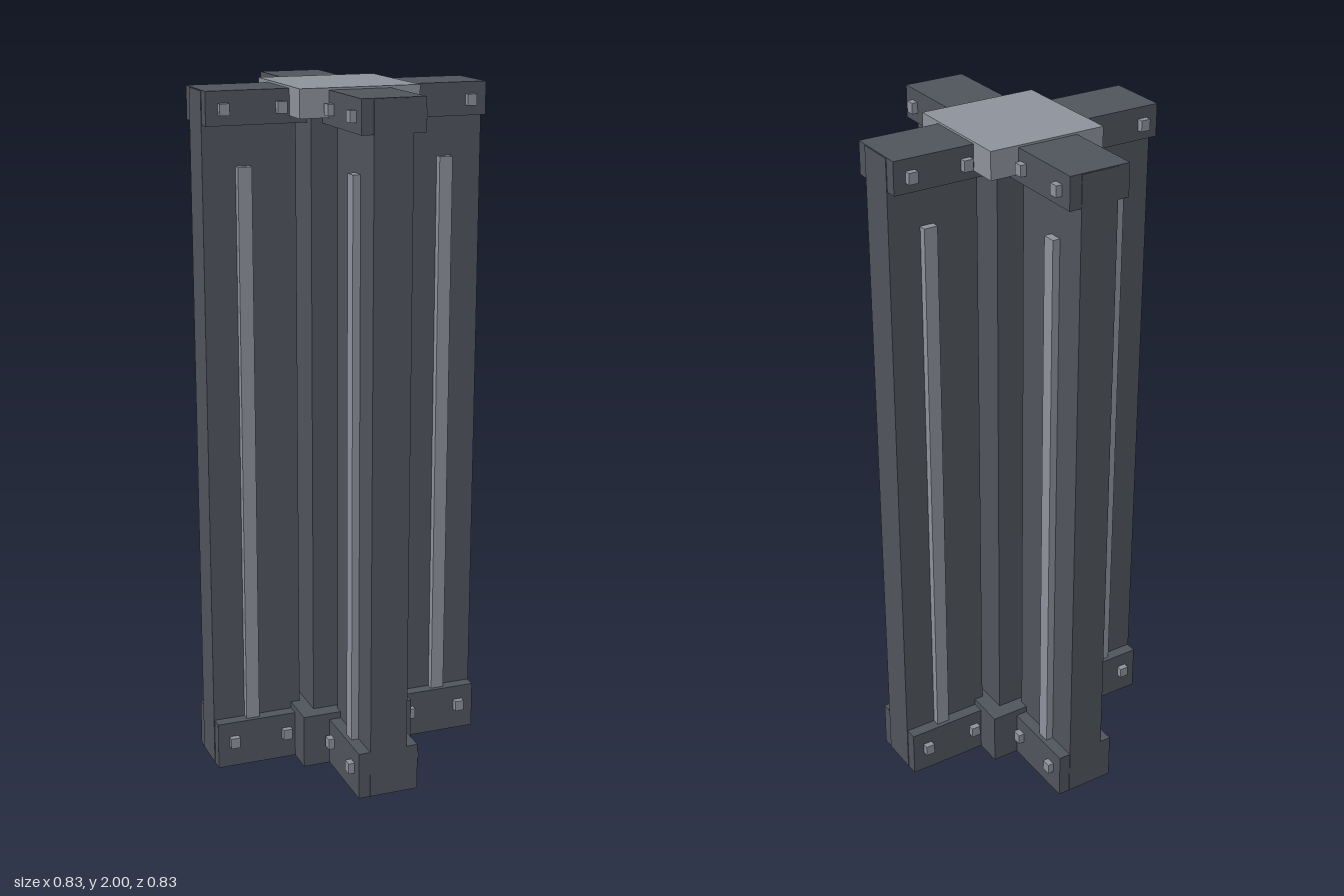
import * as THREE from 'three';

const dark = new THREE.MeshStandardMaterial({ color: 0x50545c });
dark.name = 'darkSteel';
const light = new THREE.MeshStandardMaterial({ color: 0x8e929b });
light.name = 'lightSteel';

// Box given by its lower and upper corners
function box(parent, name, material, [x0, y0, z0], [x1, y1, z1]) {
  const mesh = new THREE.Mesh(new THREE.BoxGeometry(x1 - x0, y1 - y0, z1 - z0), material);
  mesh.position.set((x0 + x1) / 2, (y0 + y1) / 2, (z0 + z1) / 2);
  mesh.name = name;
  parent.add(mesh);
}

// One arm of the cross, pointing along +x
function createArm() {
  const arm = new THREE.Group();
  box(arm, 'panel', dark, [0.145, 0.002, -0.056], [0.415, 1.992, 0.056]);
  box(arm, 'lowerBand', dark, [0.1, 0, -0.091], [0.413, 0.14, 0.091]);
  box(arm, 'upperBand', dark, [0.1, 1.9, -0.091], [0.413, 1.994, 0.091]);

  for (const side of [-1, 1]) {
    // Raised strip down the face of the panel
    const z = side * 0.0655;
    box(arm, 'strip', light, [0.28, 0.13, z - 0.0125], [0.32, 1.785, z + 0.0125]);
    // Bolts through both bands
    for (const y of [0.08, 1.945]) {
      for (const x of [0.2, 0.364]) {
        const b = side * 0.098;
        box(arm, 'bolt', light, [x - 0.014, y - 0.016, b - 0.011], [x + 0.014, y + 0.016, b + 0.011]);
      }
    }
  }
  return arm;
}

export function createModel() {
  const model = new THREE.Group();
  model.name = 'crossPillar';

  // Central column with its foot and cap, set clear of the panels
  box(model, 'column', dark, [-0.125, 0.01, -0.125], [0.125, 1.95, 0.125]);
  box(model, 'foot', dark, [-0.172, 0, -0.172], [0.172, 0.16, 0.172]);
  box(model, 'cap', light, [-0.175, 1.92, -0.175], [0.175, 2, 0.175]);

  const names = ['leftArm', 'backArm', 'rightArm', 'frontArm'];
  names.forEach((name, i) => {
    const arm = createArm();
    arm.name = name;
    arm.rotation.y = (i * Math.PI) / 2;
    model.add(arm);
  });
  return model;
}
